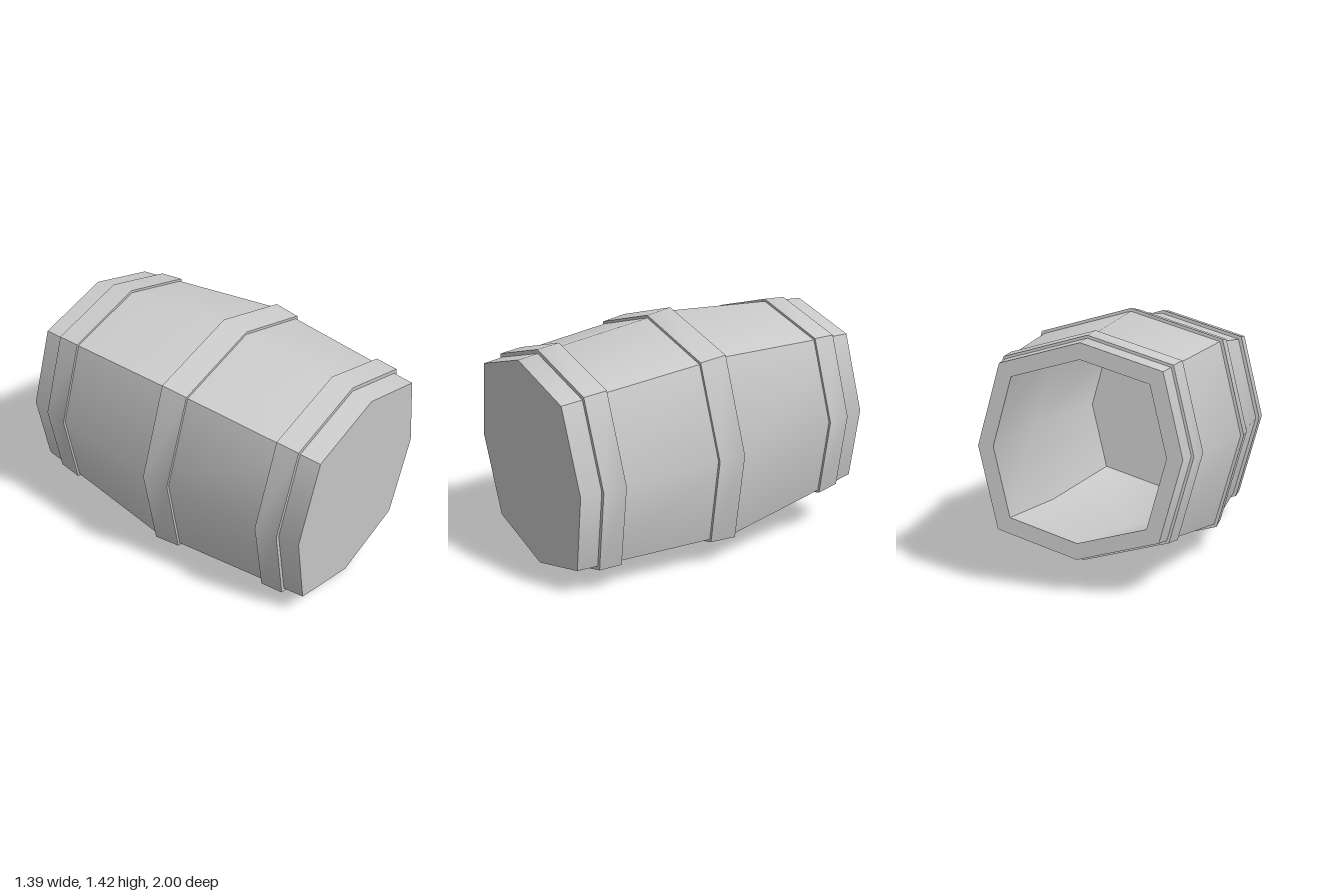
import * as THREE from 'three';
import { toCreasedNormals } from 'three/addons/utils/BufferGeometryUtils.js';

const material = new THREE.MeshStandardMaterial({ color: 0xcccccc });

// Sweeps a [radius, z] profile round eight sides, bulging the four diagonal corners.
function eightSided(name, profile) {
  const geometry = new THREE.LatheGeometry(profile.map(([r, z]) => new THREE.Vector2(r, z)), 8);
  const p = geometry.attributes.position;
  for (let i = 0; i < p.count; i++) {
    const x = p.getX(i), z = p.getZ(i);
    const diagonal = Math.abs(Math.abs(x) - Math.abs(z)) < 1e-4;
    p.setX(i, x * (diagonal ? 1.1 : 0.98));
    p.setZ(i, z * (diagonal ? 1.1 : 1));
  }
  geometry.rotateX(Math.PI / 2);
  const mesh = new THREE.Mesh(toCreasedNormals(geometry, 0.75), material);
  mesh.name = name;
  return mesh;
}

// Band lying over the staves, from its back edge to its front edge.
function hoop(name, zBack, rBack, zFront, rFront) {
  return eightSided(name, [
    [rBack - 0.04, zBack], [rBack, zBack], [rFront, zFront], [rFront - 0.04, zFront],
  ]);
}

export function createModel() {
  const barrel = new THREE.Group();
  barrel.name = 'barrel';

  // Hollow body: inner floor, inner wall, open back rim, outer wall, front lid
  barrel.add(eightSided('body', [
    [0, 0.87], [0.53, 0.87], [0.6, -0.03], [0.49, -0.957],
    [0.579, -0.957], [0.69, -0.03], [0.614, 0.957], [0, 0.957],
  ]));

  barrel.add(
    hoop('backHoop', -0.837, 0.609, -0.697, 0.625),
    hoop('middleHoop', -0.03, 0.709, 0.127, 0.694),
    hoop('frontHoop', 0.7, 0.656, 0.835, 0.647),
  );

  // Lying on its side, resting on the front and middle hoops
  barrel.rotation.x = 0.0735;
  barrel.position.y = 0.706;

  const model = new THREE.Group();
  model.add(barrel);
  return model;
}
